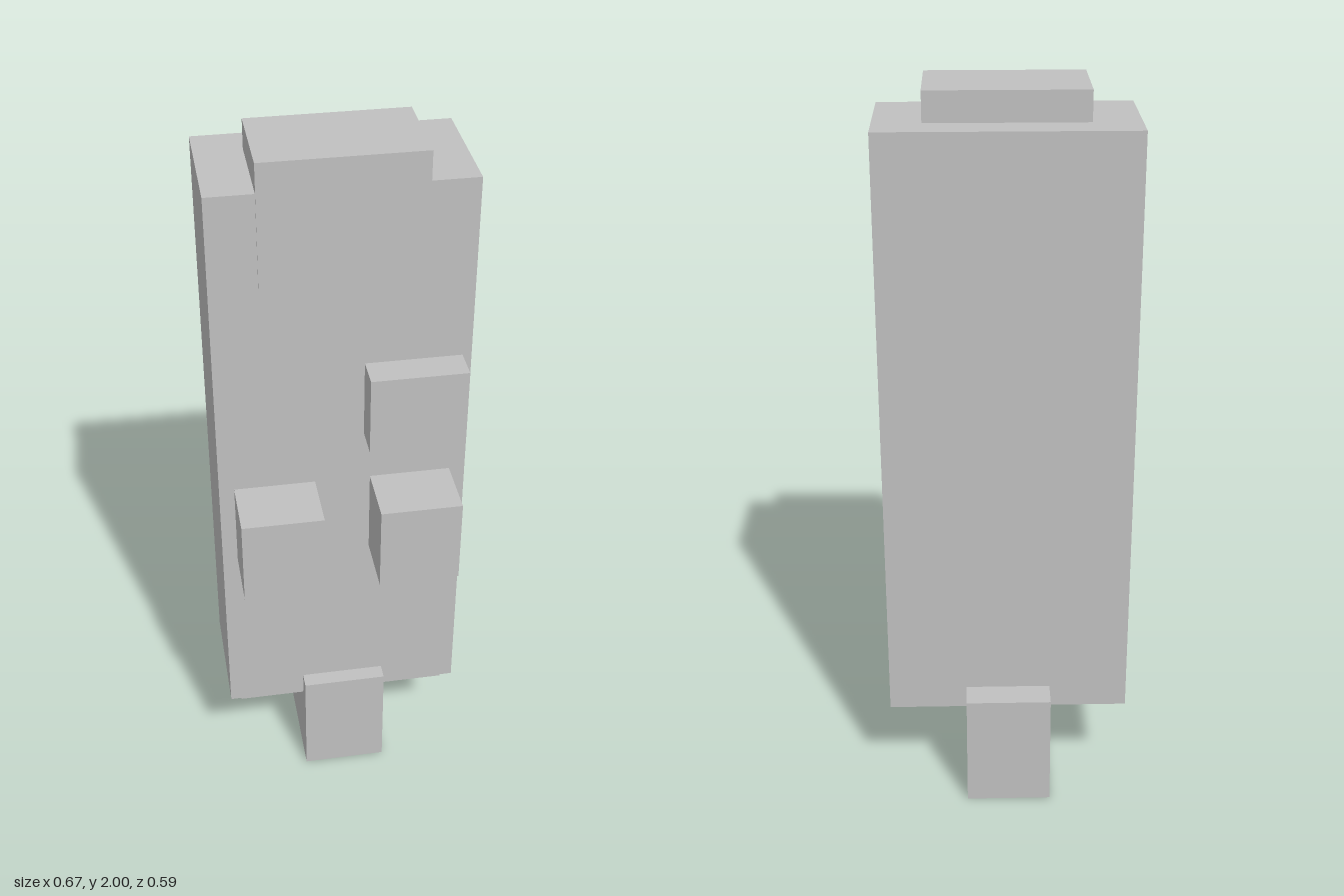
import * as THREE from 'three';

export function createModel() {
  const model = new THREE.Group();
  const grey = new THREE.MeshStandardMaterial({ color: 0xc0c0c0 });
  grey.name = 'light grey';

  // Box spanning the given [min, max] on each axis
  const block = (name, [x0, x1], [y0, y1], [z0, z1]) => {
    const mesh = new THREE.Mesh(new THREE.BoxGeometry(x1 - x0, y1 - y0, z1 - z0), grey);
    mesh.position.set((x0 + x1) / 2, (y0 + y1) / 2, (z0 + z1) / 2);
    mesh.name = name;
    model.add(mesh);
  };

  // Tall main slab
  block('body', [-0.336, 0.336], [0.265, 1.92], [-0.214, 0.125]);

  // Cap sunk into the top, standing barely proud of the front
  block('topCap', [-0.211, 0.211], [1.655, 2], [-0.121, 0.129]);

  // Thin plate under the body and the foot it stands on
  block('basePlate', [-0.305, 0.305], [0.245, 0.3], [-0.095, 0.11]);
  block('foot', [-0.118, 0.118], [0, 0.33], [-0.295, 0.17]);

  // Front blocks: one upper, and a lower pair
  block('upperBlock', [0.056, 0.312], [1.2, 1.42], [0.1, 0.212]);
  block('lowerRightBlock', [-0.295, -0.076], [0.81, 1.055], [0.1, 0.293]);
  block('lowerLeftBlock', [0.074, 0.293], [0.81, 1.055], [0.1, 0.293]);

  return model;
}
